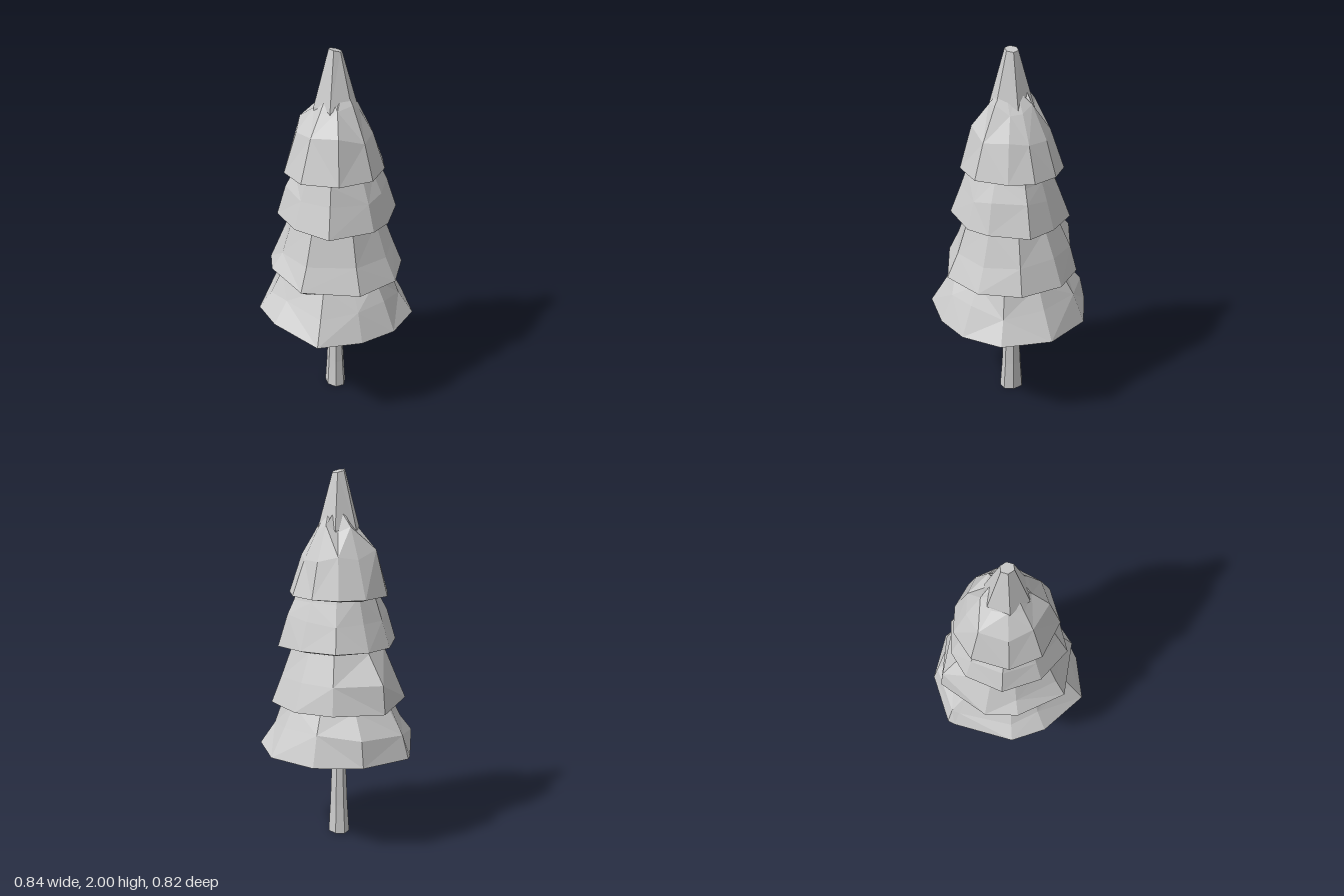
import * as THREE from 'three';

const material = new THREE.MeshStandardMaterial({ color: 0xcccccc, flatShading: true });

// Small repeatable wobble in -1..1
const wobble = (n) => {
  const s = Math.sin(n * 12.9898) * 43758.5453;
  return 2 * (s - Math.floor(s)) - 1;
};

// Closed skin through rings of equal length, capped at both ends
function loft(name, rings) {
  const pos = [];
  const tri = (a, b, c) => pos.push(...a, ...b, ...c);
  const n = rings[0].length;
  for (let r = 0; r < rings.length - 1; r++) {
    for (let i = 0; i < n; i++) {
      const j = (i + 1) % n;
      const a = rings[r][i], b = rings[r][j], c = rings[r + 1][j], d = rings[r + 1][i];
      if ((i + r) % 2) { tri(a, d, c); tri(a, c, b); }
      else { tri(a, d, b); tri(d, c, b); }
    }
  }
  const centre = (ring) => [0, 1, 2].map((k) => ring.reduce((s, p) => s + p[k], 0) / n);
  const first = rings[0], last = rings[rings.length - 1];
  for (let i = 0; i < n; i++) {
    const j = (i + 1) % n;
    tri(centre(first), first[i], first[j]);
    tri(centre(last), last[j], last[i]);
  }
  const geo = new THREE.BufferGeometry();
  geo.setAttribute('position', new THREE.Float32BufferAttribute(pos, 3));
  geo.computeVertexNormals();
  const mesh = new THREE.Mesh(geo, material);
  mesh.name = name;
  return mesh;
}

// Regular ring of points
const circle = (sides, rx, rz, y, turn) => Array.from({ length: sides }, (_, i) => {
  const a = (i / sides) * Math.PI * 2 + turn;
  return [rx * Math.cos(a) - 0.005, y, rz * Math.sin(a)];
});

// rim: [x, z] corners; rings: [height, scale of the rim] above it
// lift raises the right end of the rim, bulge fills out the back
const tiers = [
  {
    name: 'bottomBranches', y: 0.505, lift: 0.045, bulge: 0.12, rough: 0.025,
    rim: [[-0.23, -0.375], [-0.2, -0.405], [0.08, -0.415], [0.305, -0.285], [0.42, -0.03], [0.355, 0.235],
      [0.17, 0.375], [-0.035, 0.41], [-0.275, 0.37], [-0.41, 0.105], [-0.42, -0.09]],
    rings: [[0.64, 0.82], [0.77, 0.68], [0.86, 0.58]],
  },
  {
    name: 'lowerBranches', y: 0.768, lift: 0.05, bulge: 0.1, rough: 0.02,
    rim: [[-0.06, -0.395], [0.195, -0.295], [0.33, -0.13], [0.345, 0.11], [0.21, 0.3],
      [-0.03, 0.37], [-0.31, 0.24], [-0.36, -0.04], [-0.3, -0.21]],
    rings: [[0.91, 0.85], [1.08, 0.68], [1.16, 0.58]],
  },
  {
    name: 'upperBranches', y: 1.085, lift: 0.01, bulge: 0, rough: 0.025,
    rim: [[-0.01, -0.31], [0.16, -0.265], [0.28, -0.105], [0.33, 0.055], [0.195, 0.23],
      [0.08, 0.295], [-0.17, 0.285], [-0.285, 0.105], [-0.295, -0.11], [-0.16, -0.27]],
    rings: [[1.23, 0.84], [1.35, 0.71], [1.43, 0.58]],
  },
  {
    name: 'crown', y: 1.357, lift: -0.02, bulge: 0, rough: 0.035,
    rim: [[-0.005, -0.285], [0.13, -0.24], [0.23, -0.14], [0.27, 0], [0.22, 0.13],
      [0.09, 0.255], [-0.1, 0.255], [-0.25, 0.115], [-0.27, -0.065], [-0.165, -0.235]],
    rings: [[1.57, 0.75], [1.71, 0.44], [1.79, 0.2]],
  },
];

function makeTier({ name, y, lift, bulge, rough, rim, rings }, t) {
  const reach = Math.max(...rim.flat().map(Math.abs));
  const toward = (v) => Math.max(0, -v / reach) ** 4;
  const flatRing = (scale, height, amount) => rim.map(([x, z], i) => [
    x * scale, height + amount * wobble(i + 53 * t + 5), z * scale]);
  // Shallow uneven hollow, low inner lip, then the rim
  const skin = [
    flatRing(0.15, y + 0.05, 0),
    flatRing(0.62, y + 0.05, 0.03),
    flatRing(0.87, y - 0.01, 0.004),
    rim.map(([x, z]) => [x, y + lift * toward(x), z]),
  ];
  // Sloping, uneven outer faces
  rings.forEach(([height, scale], r) => {
    skin.push(rim.map(([x, z], i) => {
      const k = scale + (r === 0 ? bulge * toward(z) : 0) + rough * wobble(i + 17 * r + 41 * t + 3);
      return [x * k, height + rough * wobble(i + 29 * r + 13 * t + 7), z * k];
    }));
  });
  return loft(name, skin);
}

export function createModel() {
  const tree = new THREE.Group();
  tree.name = 'tree';

  // Tapered trunk with a slightly flared foot
  tree.add(loft('trunk', [
    circle(7, 0.056, 0.068, 0, 0.2),
    circle(7, 0.047, 0.056, 0.16, 0.2),
    circle(7, 0.034, 0.042, 0.5, 0.2),
    circle(7, 0.03, 0.036, 0.68, 0.2),
  ]));

  // Four stacked skirts of branches
  tiers.forEach((tier, t) => tree.add(makeTier(tier, t)));

  // Six-sided pointed top rising out of the crown, its tip cut at a slant
  tree.add(loft('treetop', [
    circle(6, 0.115, 0.12, 1.5, 0.15),
    circle(6, 0.115, 0.12, 1.7, 0.15),
    circle(6, 0.035, 0.037, 1.99, 0.15).map(([x, y, z]) => [x, y - 0.25 * x, z]),
  ]));
  return tree;
}
